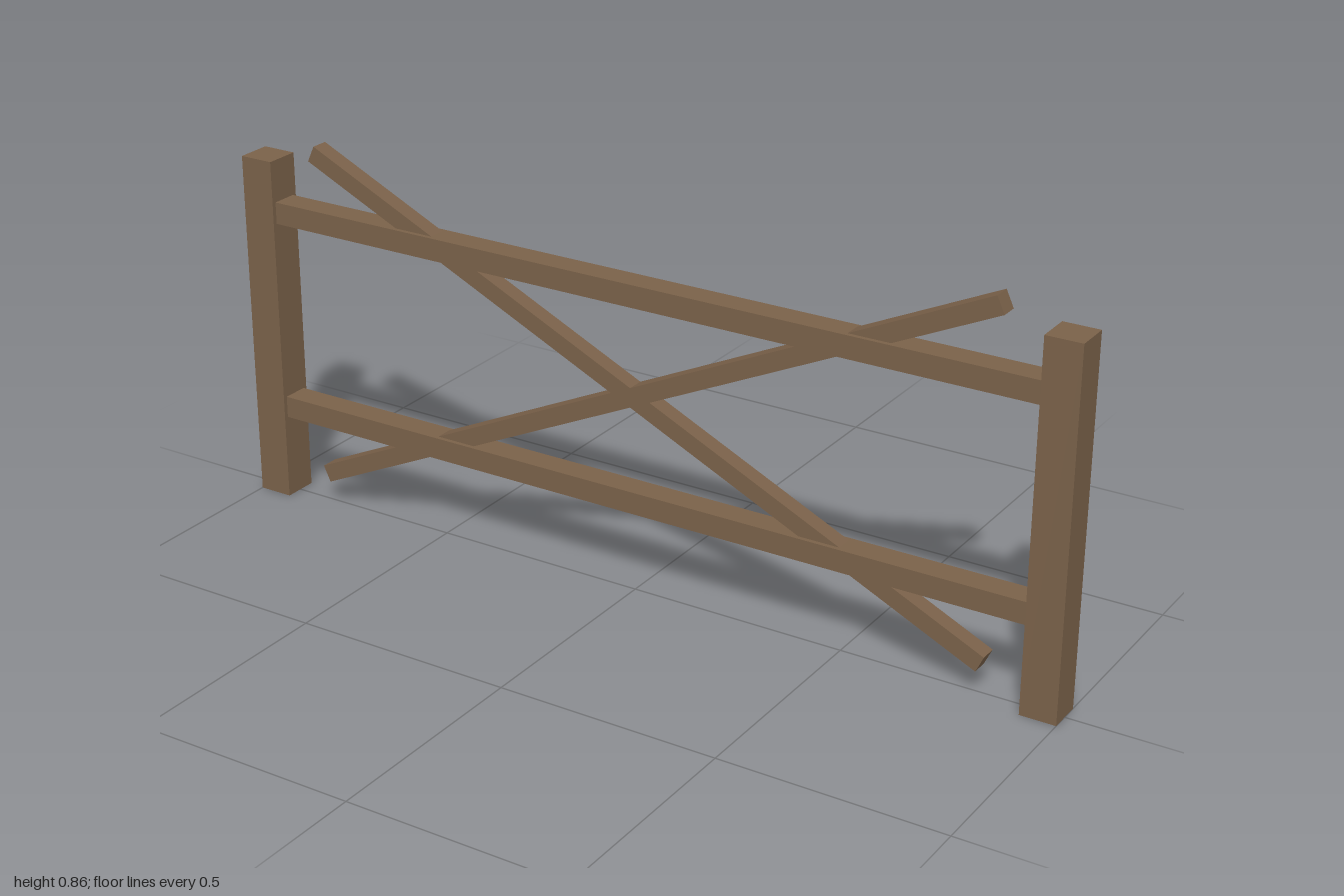
import * as THREE from 'three';

export function createModel() {
  const group = new THREE.Group();
  const wood = new THREE.MeshStandardMaterial({ color: 0x7a6149 });
  wood.name = 'brownWood';

  const beam = (name, w, h, d, x, y, tilt = 0) => {
    const mesh = new THREE.Mesh(new THREE.BoxGeometry(w, h, d), wood);
    mesh.name = name;
    mesh.position.set(x, y, 0);
    mesh.rotation.z = tilt;
    group.add(mesh);
  };

  // Upright posts and the crossed braces, mirrored left and right
  for (const [side, s] of [['left', 1], ['right', -1]]) {
    beam(side + 'Post', 0.08, 0.808, 0.08, s * 0.96, 0.404);
    beam(side + 'Brace', 1.812, 0.04, 0.04, 0, 0.456, s * THREE.MathUtils.degToRad(25));
  }

  // Horizontal rails between the posts
  beam('upperRail', 1.86, 0.05, 0.06, 0, 0.687);
  beam('lowerRail', 1.86, 0.05, 0.06, 0, 0.22);

  return group;
}
